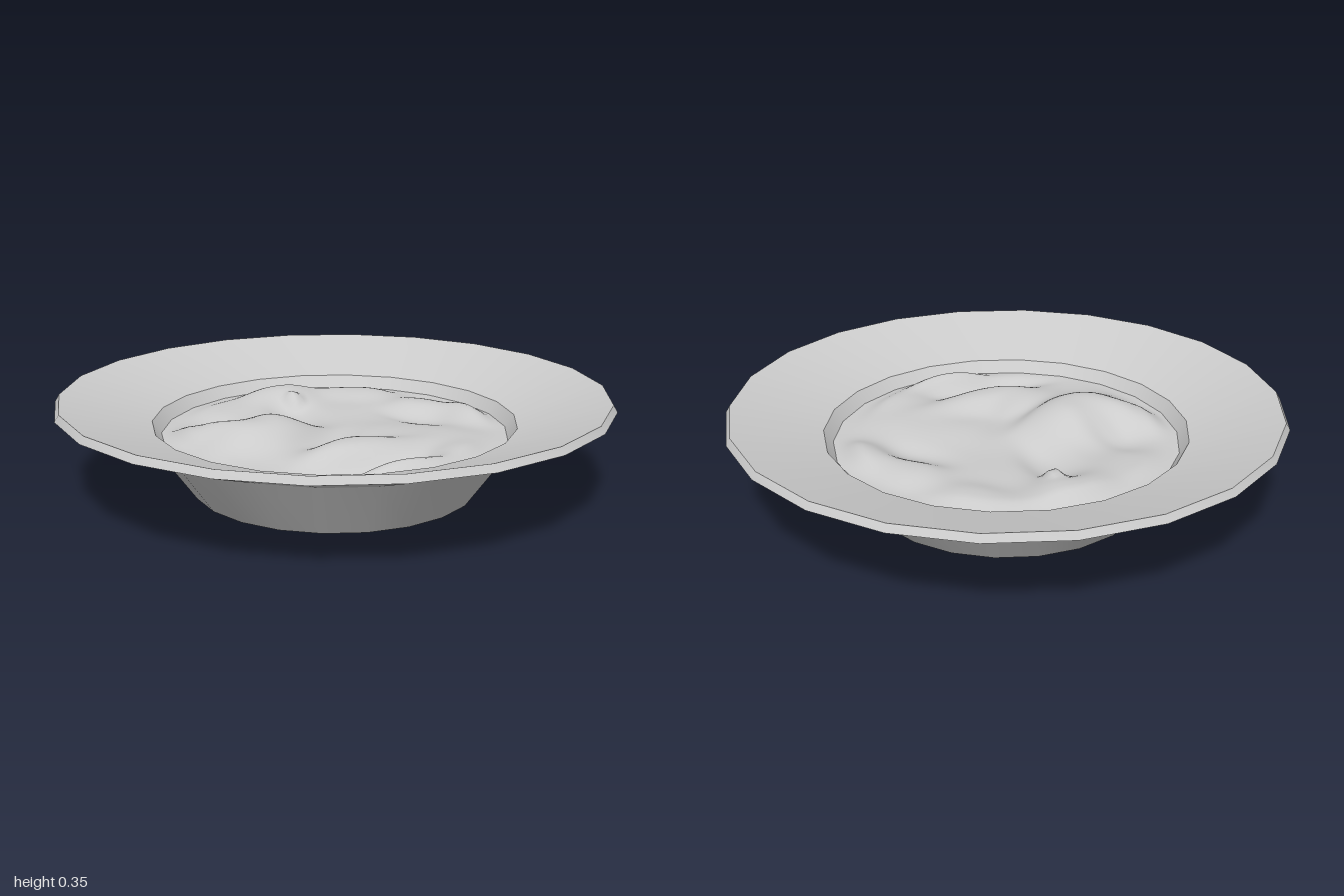
import * as THREE from 'three';
import { mergeVertices, toCreasedNormals } from 'three/addons/utils/BufferGeometryUtils.js';

const SIDES = 22;
const FILL_RADIUS = 0.628;
const FILL_LEVEL = 0.205;

// Lumps and hollows of the filling: x, z, height, radius along, radius across, turn
const LUMPS = [
  [-0.16, 0.26, 0.085, 0.17, 0.21, 0.3],
  [-0.38, 0.36, 0.035, 0.12, 0.1, 0],
  [-0.32, 0.2, -0.02, 0.16, 0.08, 0.4],
  [0.2, 0.24, 0.055, 0.24, 0.1, -0.85],
  [0.06, 0.22, -0.02, 0.07, 0.2, 0],
  [0.3, 0.38, -0.035, 0.25, 0.07, -0.85],
  [0.47, 0.36, 0.065, 0.16, 0.11, -0.85],
  [0.53, 0.12, 0.03, 0.09, 0.16, 0],
  [0.14, -0.42, 0.03, 0.12, 0.1, 0.3],
  [0.37, -0.42, 0.04, 0.13, 0.12, 0],
  [0.2, -0.3, -0.015, 0.15, 0.07, 0],
  [-0.18, -0.5, 0.03, 0.17, 0.11, 0],
  [-0.42, -0.3, 0.045, 0.14, 0.16, 0.5],
  [-0.31, -0.23, 0.035, 0.045, 0.03, 0.6],
  [-0.25, -0.13, -0.03, 0.17, 0.08, 0.6],
  [0.3, -0.08, 0.02, 0.22, 0.15, 0],
  [-0.5, 0, 0.02, 0.12, 0.16, 0],
];

function fillHeight(x, z) {
  let h = 0;
  for (const [cx, cz, height, a, b, turn] of LUMPS) {
    const c = Math.cos(turn), s = Math.sin(turn);
    const u = ((x - cx) * c + (z - cz) * s) / a;
    const v = ((z - cz) * c - (x - cx) * s) / b;
    h += height * Math.exp(-Math.pow(u * u + v * v, 1.4));
  }
  // Fine unevenness
  h += 0.006 * Math.sin(11 * x + 4 * z) * Math.cos(9 * z - 5 * x);
  // Settle towards the wall of the bowl
  const edge = THREE.MathUtils.smoothstep(FILL_RADIUS - Math.hypot(x, z), 0, 0.1);
  return FILL_LEVEL + h * edge;
}

function createBowl(material) {
  // Closed section: foot, outer wall, wide rim, inner wall, floor
  const profile = [
    [0, 0], [0.52, 0], [0.67, 0.21], [1, 0.33], [0.985, 0.355],
    [0.66, 0.25], [0.52, 0.05], [0, 0.05],
  ].map(([r, y]) => new THREE.Vector2(r, y));
  const lathe = new THREE.LatheGeometry(profile, SIDES, Math.PI / 2);
  const bowl = new THREE.Mesh(toCreasedNormals(lathe, 0.4), material);
  bowl.name = 'bowl';
  return bowl;
}

function createFilling(material) {
  let geometry = new THREE.RingGeometry(0, FILL_RADIUS, SIDES * 5, 40);
  geometry.rotateX(-Math.PI / 2);
  geometry.deleteAttribute('uv');
  geometry.deleteAttribute('normal');
  const pos = geometry.attributes.position;
  const step = (2 * Math.PI) / SIDES;
  for (let i = 0; i < pos.count; i++) {
    // Pull the round outline onto the many-sided bowl wall
    const angle = Math.atan2(pos.getZ(i), pos.getX(i)) + 2 * Math.PI;
    const k = Math.cos(step / 2) / Math.cos((angle % step) - step / 2);
    const x = pos.getX(i) * k, z = pos.getZ(i) * k;
    pos.setXYZ(i, x, fillHeight(x, z), z);
  }
  geometry = mergeVertices(geometry, 1e-5);
  geometry.computeVertexNormals();
  const filling = new THREE.Mesh(geometry, material);
  filling.name = 'filling';
  return filling;
}

export function createModel() {
  const material = new THREE.MeshStandardMaterial({ color: 0xcccccc });
  const group = new THREE.Group();
  group.name = 'filledBowl';
  group.add(createBowl(material), createFilling(material));
  return group;
}
